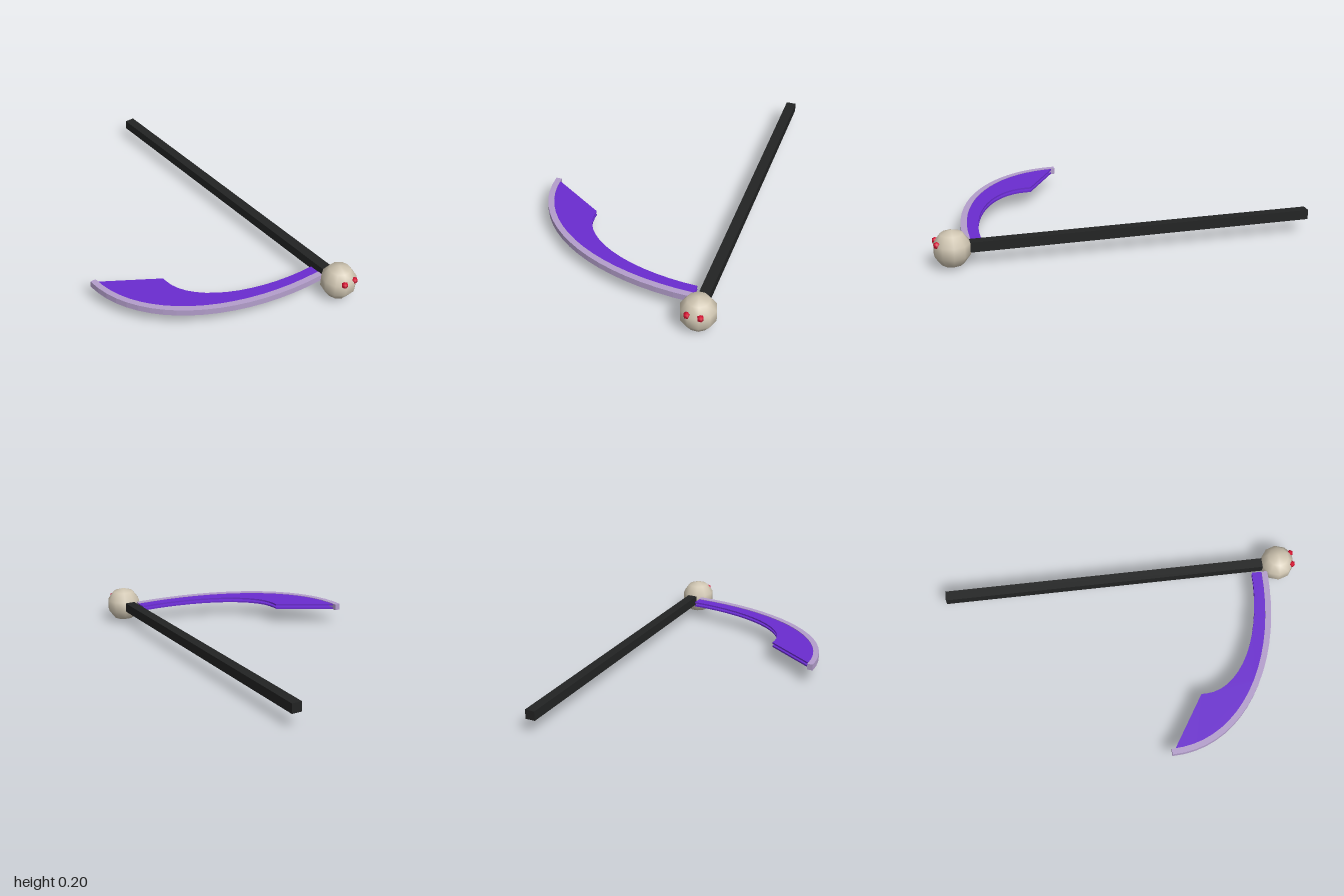
import * as THREE from 'three';

const mat = (name, color) => {
  const m = new THREE.MeshStandardMaterial({ color });
  m.name = name;
  return m;
};

// Quarter arc in plan, from the blade tip side (-x) round to the haft side (+z)
function arc(cx, cz, rx, rz, power, steps) {
  const pts = [];
  for (let i = 0; i <= steps; i++) {
    const a = (i / steps) * Math.PI / 2;
    pts.push(new THREE.Vector2(
      cx - rx * Math.pow(Math.max(0, Math.cos(a)), 2 / power),
      cz + rz * Math.pow(Math.sin(a), 2 / power)));
  }
  return pts;
}

// Flat slab lying in the xz plane, with its top at yTop
function slab(points, yTop, depth) {
  const g = new THREE.ExtrudeGeometry(new THREE.Shape(points), { depth, bevelEnabled: false });
  return g.rotateX(Math.PI / 2).translate(0, yTop, 0);
}

export function createModel() {
  const black = mat('haft black', 0x222323);
  const bone = mat('bone', 0xd0c6b2);
  const red = mat('eye red', 0xd80f30);
  const purple = mat('blade purple', 0x6a2ccf);
  const lilac = mat('edge lilac', 0xb39ecb);

  const model = new THREE.Group();
  model.name = 'scythe';
  const add = (name, geometry, material, x = 0, y = 0, z = 0) => {
    const mesh = new THREE.Mesh(geometry, material);
    mesh.name = name;
    mesh.position.set(x, y, z);
    model.add(mesh);
  };

  // Square haft
  add('haft', new THREE.BoxGeometry(0.055, 0.052, 1.86), black, 0.482, 0.103, -0.07);

  // Low-poly head with two eyes
  add('head', new THREE.SphereGeometry(0.098, 10, 5), bone, 0.484, 0.1, 0.904);
  for (const side of [-1, 1]) {
    add(side < 0 ? 'rightEye' : 'leftEye', new THREE.SphereGeometry(0.019, 6, 3), red,
      0.484 + side * 0.034, 0.136, 0.982);
  }

  // Curved cutting edge
  const outer = arc(0.43, 0.16, 1.012, 0.678, 2.1, 18);
  const inner = arc(0.43, 0.16, 0.98, 0.645, 2.1, 18);
  add('cuttingEdge', slab([...outer, ...inner.slice().reverse()], 0.12, 0.035), lilac);

  // Blade faces: twin plates with a gap between them
  const rim = arc(0.43, 0.177, 0.985, 0.632, 2.1, 18);
  const hollow = arc(0.43, 0.39, 0.69, 0.36, 2, 14);
  const outline = [...rim, ...hollow.reverse(), new THREE.Vector2(-0.26, 0.362)];
  add('upperBladeFace', slab(outline, 0.117, 0.009), purple);
  add('lowerBladeFace', slab(outline, 0.097, 0.009), purple);

  return model;
}
